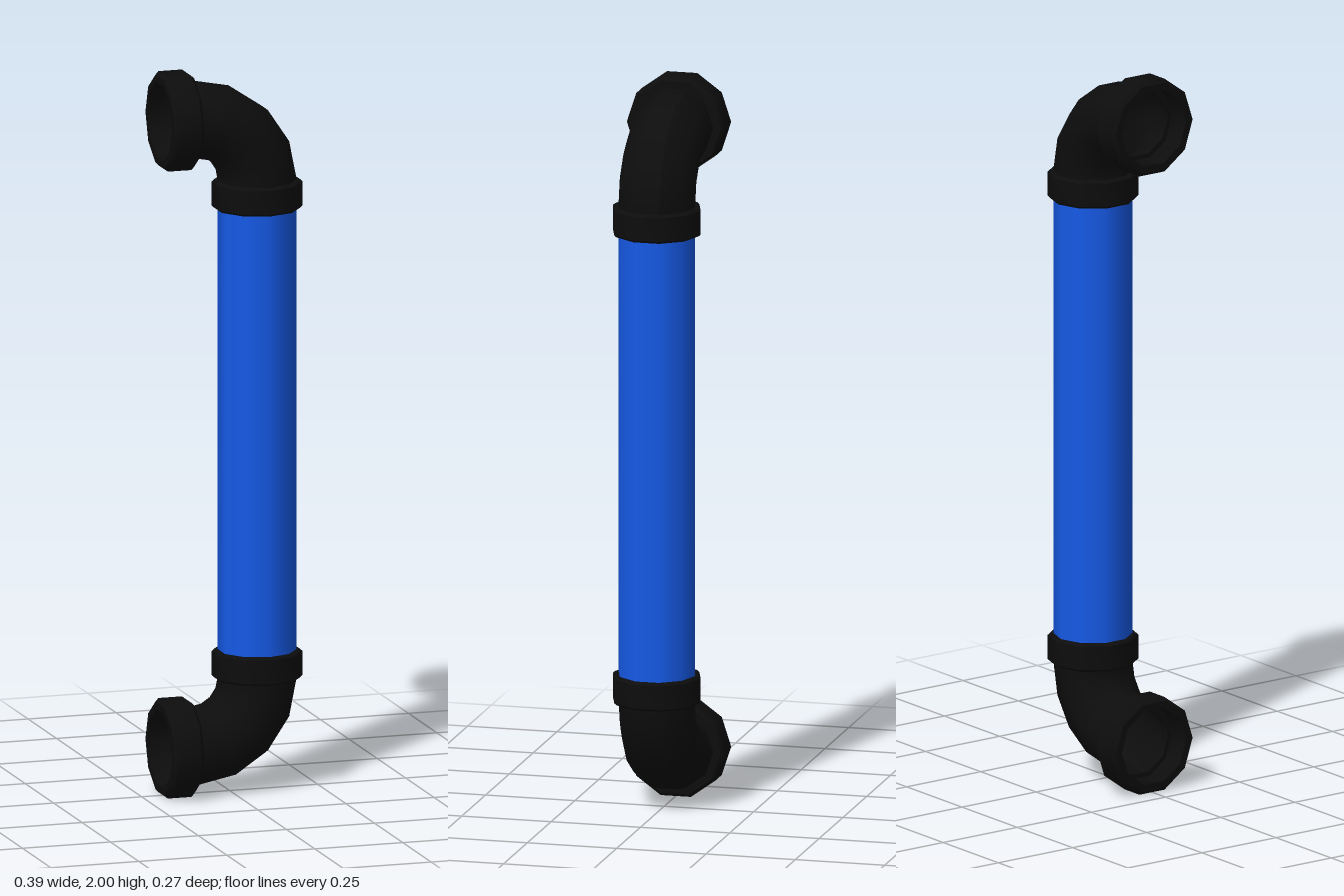
import * as THREE from 'three';
import { toCreasedNormals } from 'three/addons/utils/BufferGeometryUtils.js';

const SIDES = 10;
const PIPE_X = 0.078;   // axis of the upright pipe
const PIPE_R = 0.107;
const BEND_R = 0.178;   // centre-line radius of the elbow
const BEND_X = -0.1;
const BEND_Y = 0.69;    // heights are measured from mid-pipe

const black = new THREE.MeshStandardMaterial({ color: 0x0d0d0d, side: THREE.DoubleSide });
const blue = new THREE.MeshStandardMaterial({ color: 0x165ae8 });

// Ten-sided turned part, smooth around and sharp at its edges
function turned(profile) {
  const points = profile.map(([r, y]) => new THREE.Vector2(r, y));
  return toCreasedNormals(new THREE.LatheGeometry(points, SIDES), 0.7);
}

// Hollow ring with bevelled outer edges, from y = 0 to y = h
function ringProfile(inner, outer, h, bevel) {
  return [
    [inner, 0], [outer - bevel, 0], [outer, bevel],
    [outer, h - bevel], [outer - bevel, h], [inner, h], [inner, 0],
  ];
}

function part(name, geometry, material, x = 0, y = 0) {
  const mesh = new THREE.Mesh(geometry, material);
  mesh.name = name;
  mesh.position.set(x, y, 0);
  return mesh;
}

// Elbow fitting: collar on the pipe, quarter bend, and socket facing -x
function createElbow(name) {
  const elbow = new THREE.Group();
  elbow.name = name;

  elbow.add(part('collar', turned(ringProfile(0.095, 0.123, 0.078, 0.006)), black, PIPE_X, 0.612));

  // Quarter bend: a ten-sided section swept around the z axis
  const section = [];
  for (let i = 0; i <= SIDES; i++) {
    const a = Math.PI / 10 + (i / SIDES) * Math.PI * 2;
    section.push(new THREE.Vector2(BEND_R + PIPE_R * Math.cos(a), PIPE_R * Math.sin(a)));
  }
  const bend = new THREE.LatheGeometry(section, 4, 0, Math.PI / 2);
  bend.rotateX(-Math.PI / 2);
  elbow.add(part('bend', bend, black, BEND_X, BEND_Y));

  // Short straight neck between the bend and the socket
  const neck = new THREE.CylinderGeometry(PIPE_R, PIPE_R, 0.03, SIDES, 1, true);
  neck.rotateZ(Math.PI / 2);
  elbow.add(part('neck', neck, black, BEND_X - 0.015, BEND_Y + BEND_R));

  // Wide socket with an open mouth
  const socket = turned([
    [0.095, 0], [0.128, 0], [0.137, 0.009], [0.137, 0.076],
    [0.128, 0.085], [0.108, 0.085], [0.108, 0.02], [0.095, 0.02], [0.095, 0],
  ]);
  socket.rotateZ(Math.PI / 2);
  elbow.add(part('socket', socket, black, -0.113, BEND_Y + BEND_R + 0.001));
  return elbow;
}

export function createModel() {
  const model = new THREE.Group();
  model.name = 'pipeHandle';

  // Upright pipe, its ends tucked into the collars
  model.add(part('pipe', new THREE.CylinderGeometry(PIPE_R, PIPE_R, 1.28, SIDES), blue, PIPE_X, 1));

  const topElbow = createElbow('topElbow');
  const bottomElbow = createElbow('bottomElbow');
  bottomElbow.rotation.x = Math.PI;
  for (const elbow of [topElbow, bottomElbow]) {
    elbow.position.y = 1;
    model.add(elbow);
  }
  return model;
}
